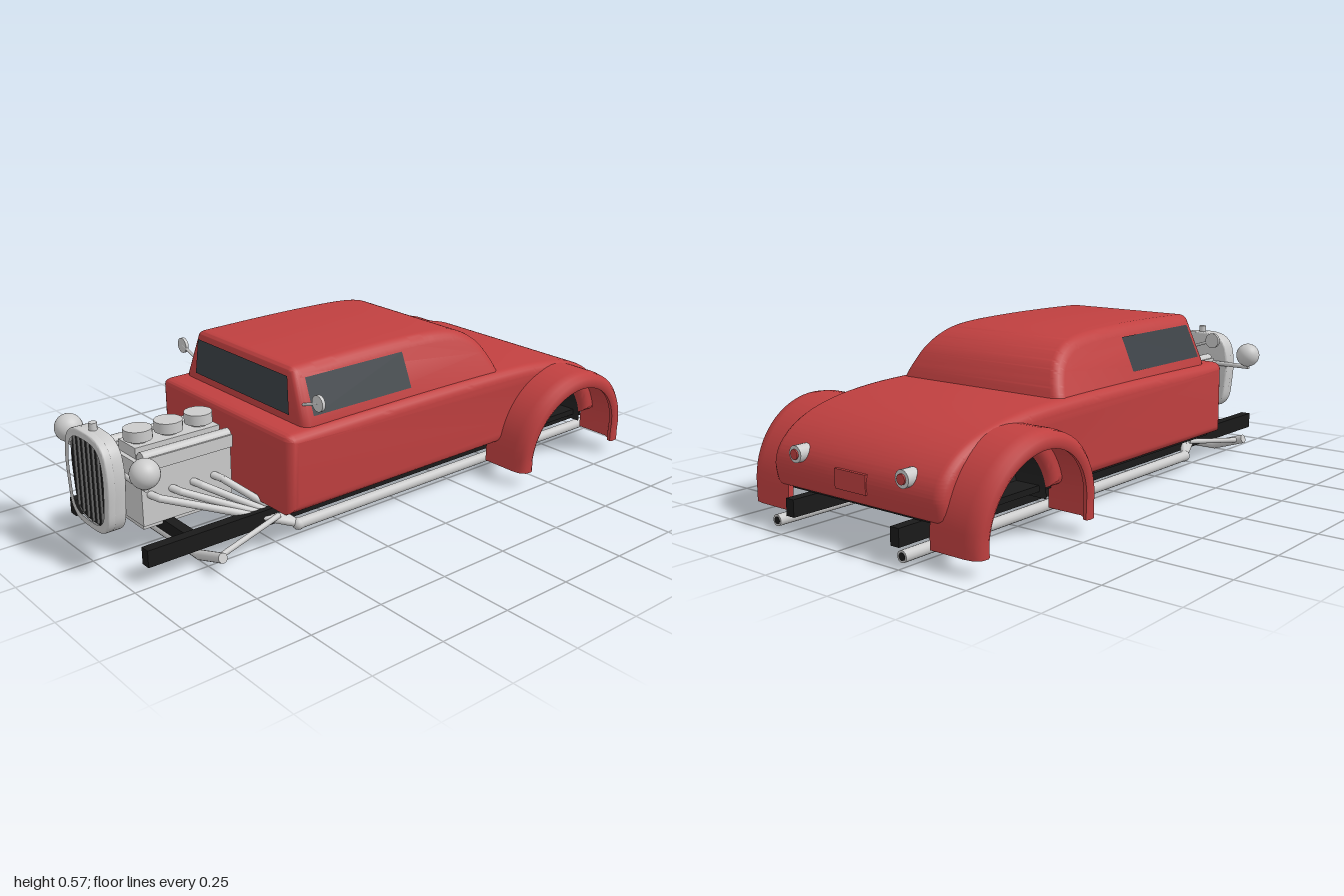
import * as THREE from 'three';
import { toCreasedNormals } from 'three/addons/utils/BufferGeometryUtils.js';

const mat = (color) => new THREE.MeshStandardMaterial({ color });
const V = (x, y, z) => new THREE.Vector3(x, y, z);

export function createModel() {
  const model = new THREE.Group();
  const red = mat(0xc04040), grey = mat(0xcccccc), black = mat(0x1a1a1a), glass = mat(0x3a4045);
  glass.side = THREE.DoubleSide;

  const add = (name, geo, material, x = 0, y = 0, z = 0) => {
    const mesh = new THREE.Mesh(geo, material);
    mesh.name = name;
    mesh.position.set(x, y, z);
    model.add(mesh);
    return mesh;
  };
  const box = (name, w, h, d, m, x, y, z) => add(name, new THREE.BoxGeometry(w, h, d), m, x, y, z);
  // Straight round bar between two points
  const rod = (name, a, b, r, m = grey) => {
    const mesh = add(name, new THREE.CylinderGeometry(r, r, a.distanceTo(b), 16), m);
    mesh.position.copy(a).add(b).multiplyScalar(0.5);
    mesh.quaternion.setFromUnitVectors(V(0, 1, 0), b.clone().sub(a).normalize());
    return mesh;
  };
  // Chain of bars with ball joints at the bends
  const pipe = (name, pts, r) => {
    for (let i = 1; i < pts.length; i++) {
      rod(name, pts[i - 1], pts[i], r);
      if (i < pts.length - 1) add(name + 'Bend', new THREE.SphereGeometry(r, 16, 10), grey, pts[i].x, pts[i].y, pts[i].z);
    }
  };
  // Side profile (u = -z, v = y) extruded across the car with rounded sides
  const sideExtrude = (shape, halfWidth, bevel) => {
    const depth = 2 * (halfWidth - bevel);
    const geo = new THREE.ExtrudeGeometry(shape, {
      depth, bevelEnabled: true, bevelSize: bevel, bevelThickness: bevel,
      bevelOffset: -bevel, bevelSegments: 5, curveSegments: 20,
    });
    return geo.translate(0, 0, -depth / 2).rotateY(Math.PI / 2);
  };
  const vec2 = (list) => list.map(([x, y]) => new THREE.Vector2(x, y));

  // Main body with rear wheel arches
  const AZ = 0.66, AY = 0.095, AR = 0.195;
  const body = new THREE.Shape();
  body.moveTo(-0.52, 0.13);
  body.lineTo(-0.52, 0.365);
  body.quadraticCurveTo(-0.52, 0.39, -0.49, 0.39);
  body.splineThru(vec2([[0, 0.395], [0.4, 0.392], [0.6, 0.381], [0.75, 0.355], [0.85, 0.315], [0.915, 0.26], [0.94, 0.2], [0.932, 0.14]]));
  body.lineTo(0.925, 0.13);
  const a0 = Math.asin((0.13 - AY) / AR);
  body.absarc(AZ, AY, AR, a0, Math.PI - a0, false);
  add('body', toCreasedNormals(sideExtrude(body, 0.36, 0.035), 0.6), red);

  // Dark wheel tub and floor
  const half = (r, len, open) => new THREE.CylinderGeometry(r, r, len, 32, 1, open, 0, Math.PI).rotateZ(Math.PI / 2);
  const liner = mat(0x222222);
  liner.side = THREE.DoubleSide;
  add('wheelTub', half(0.193, 0.44, false), liner, 0, AY + 0.01, -AZ);
  add('wheelWellLiner', half(0.194, 0.67, true), liner, 0, AY, -AZ);
  box('floor', 0.62, 0.02, 1.4, black, 0, 0.125, -0.2);

  // Cabin, narrowing towards the roof
  const cabin = new THREE.Shape();
  cabin.moveTo(-0.44, 0.32);
  cabin.lineTo(-0.44, 0.4);
  cabin.lineTo(-0.432, 0.545);
  cabin.quadraticCurveTo(-0.43, 0.562, -0.41, 0.563);
  cabin.splineThru(vec2([[-0.2, 0.567], [0, 0.567], [0.18, 0.56], [0.28, 0.54], [0.35, 0.495], [0.39, 0.435], [0.41, 0.385]]));
  cabin.lineTo(0.41, 0.32);
  const cabinGeo = sideExtrude(cabin, 0.335, 0.032);
  const narrow = (y) => 1 - 1.3 * (Math.max(y, 0.39) - 0.39);
  const pos = cabinGeo.attributes.position;
  for (let i = 0; i < pos.count; i++) pos.setX(i, pos.getX(i) * narrow(pos.getY(i)));
  add('cabin', toCreasedNormals(cabinGeo, 0.6), red);

  // Windows
  const panel = (name, corners) => {
    const geo = new THREE.BufferGeometry().setFromPoints(corners);
    geo.setIndex([0, 1, 2, 0, 2, 3]);
    geo.computeVertexNormals();
    add(name, geo, glass);
  };
  panel('windscreen', [V(-0.258, 0.415, 0.444), V(0.258, 0.415, 0.444), V(0.245, 0.535, 0.438), V(-0.245, 0.535, 0.438)]);
  for (const s of [-1, 1]) {
    const wx = (y) => s * (0.335 * narrow(y) + 0.003);
    panel('sideWindow', [V(wx(0.42), 0.42, 0.4), V(wx(0.42), 0.42, 0), V(wx(0.53), 0.53, 0), V(wx(0.53), 0.53, 0.395)]);
  }

  // Rear fenders: a rolled-lip section (x, radius) swept over an arch with straight legs
  const section = [[0.3, 0.268], [0.45, 0.268], [0.482, 0.263], [0.497, 0.248], [0.5, 0.225],
    [0.494, 0.214], [0.48, 0.217], [0.472, 0.232], [0.45, 0.246], [0.3, 0.248]];
  const fender = (s) => {
    const verts = [], index = [], n = section.length, steps = 34;
    for (let i = 0; i <= steps; i++) {
      const t = Math.PI * THREE.MathUtils.clamp((i - 1) / (steps - 2), 0, 1);
      const drop = i === 0 || i === steps ? 0.045 : 0;
      for (const [x, r] of section) {
        const inset = 0.024 * (1 - Math.sin(t)) * (x > 0.4 ? 1 : 0);
        verts.push(s * (x - inset), AY + r * Math.sin(t) - drop, -AZ + r * Math.cos(t));
      }
    }
    const quad = (a, b, c, d) => (s > 0 ? index.push(a, b, c, a, c, d) : index.push(a, c, b, a, d, c));
    for (let i = 0; i < steps; i++) {
      for (let j = 0; j < n; j++) {
        const k = (j + 1) % n;
        quad(i * n + j, i * n + k, (i + 1) * n + k, (i + 1) * n + j);
      }
    }
    for (let j = 0; j < n / 2 - 1; j++) {
      const e = steps * n;
      quad(j, n - 1 - j, n - 2 - j, j + 1);
      quad(e + j, e + j + 1, e + n - 2 - j, e + n - 1 - j);
    }
    const geo = new THREE.BufferGeometry();
    geo.setAttribute('position', new THREE.Float32BufferAttribute(verts, 3));
    geo.setIndex(index);
    const m = red.clone();
    m.side = THREE.DoubleSide;
    add('rearFender', toCreasedNormals(geo, 0.8), m);
  };

  // Paired parts
  for (const s of [-1, 1]) {
    fender(s);
    box('chassisRail', 0.034, 0.055, 1.93, black, s * 0.222, 0.086, -0.02);

    // Exhaust headers and side pipe
    const collector = V(s * 0.265, 0.045, 0.42);
    for (const z of [0.83, 0.755, 0.68, 0.605]) {
      pipe('exhaustHeader', [V(s * 0.09, 0.215, z + 0.02), V(s * 0.125, 0.205, z), collector], 0.012);
    }
    add('collector', new THREE.SphereGeometry(0.02, 16, 10), grey, collector.x, collector.y, collector.z);
    rod('sidePipe', collector, V(s * 0.265, 0.043, -1), 0.018);
    rod('pipeOutlet', V(s * 0.265, 0.043, -0.99), V(s * 0.265, 0.043, -1.001), 0.012, black);

    // Radius rod, headlight, mirror
    rod('radiusRod', V(s * 0.3, 0.05, 0.745), V(s * 0.245, 0.085, 0.48), 0.009);
    add('headlight', new THREE.SphereGeometry(0.045, 28, 18), grey, s * 0.23, 0.35, 0.932);
    rod('headlightStem', V(s * 0.23, 0.303, 0.932), V(s * 0.23, 0.33, 0.932), 0.009);
    rod('mirrorArm', V(s * 0.29, 0.452, 0.42), V(s * 0.37, 0.478, 0.42), 0.005);
    rod('mirror', V(s * 0.372, 0.479, 0.413), V(s * 0.372, 0.479, 0.424), 0.026);

    // Tail light
    rod('tailLight', V(s * 0.225, 0.243, -0.91), V(s * 0.225, 0.243, -0.955), 0.027);
    rod('tailLens', V(s * 0.225, 0.243, -0.95), V(s * 0.225, 0.243, -0.96), 0.016, red);

    // Valve cover
    box('valveCover', 0.05, 0.04, 0.31, grey, s * 0.088, 0.315, 0.71);
    rod('valveCoverTop', V(s * 0.088, 0.33, 0.555), V(s * 0.088, 0.33, 0.865), 0.02);
  }
  box('numberPlatePanel', 0.13, 0.06, 0.02, red, 0, 0.195, -0.934);

  // Front axle and crossmember
  box('crossmember', 0.46, 0.04, 0.035, black, 0, 0.088, 0.78);
  pipe('frontAxle', [V(-0.325, 0.058, 0.745), V(-0.2, 0.018, 0.745), V(0.2, 0.018, 0.745), V(0.325, 0.058, 0.745)], 0.016);

  // Engine with three intake stacks
  box('engineBlock', 0.2, 0.2, 0.32, grey, 0, 0.215, 0.715);
  box('sump', 0.16, 0.04, 0.3, grey, 0, 0.115, 0.715);
  box('intakeManifold', 0.1, 0.05, 0.3, grey, 0, 0.325, 0.71);
  for (const z of [0.605, 0.713, 0.82]) {
    rod('intakeNeck', V(0, 0.33, z), V(0, 0.365, z), 0.03);
    rod('intakeStack', V(0, 0.358, z), V(0, 0.392, z), 0.045);
  }

  // Radiator grille
  const side = [[0.075, 0.414], [0.112, 0.385], [0.13, 0.32], [0.125, 0.22], [0.112, 0.155], [0.08, 0.124]];
  const loop = [[0, 0.422], ...side, [0, 0.115], ...side.map(([x, y]) => [-x, y]).reverse()];
  const outline = new THREE.CatmullRomCurve3(loop.map(([x, y]) => V(x, y, 0)), true).getPoints(64).slice(0, -1);
  const inset = (kx, ky) => outline.map((p) => new THREE.Vector2(p.x * kx, 0.27 + (p.y - 0.27) * ky));
  const extrude = (shape, depth, bevel) => toCreasedNormals(new THREE.ExtrudeGeometry(shape, {
    depth, bevelEnabled: bevel > 0, bevelSize: bevel, bevelThickness: bevel, bevelOffset: -bevel, bevelSegments: 3,
  }), 0.6);
  add('radiatorShell', extrude(new THREE.Shape(inset(1, 1)), 0.03, 0.006), grey, 0, 0, 0.945);
  const frame = new THREE.Shape(inset(1, 1));
  frame.holes.push(new THREE.Path(inset(0.84, 0.88)));
  add('grilleFrame', extrude(frame, 0.018, 0.005), grey, 0, 0, 0.977);
  add('grilleBacking', extrude(new THREE.Shape(inset(0.9, 0.92)), 0.004, 0), black, 0, 0, 0.979);
  for (let i = -3; i <= 3; i++) {
    const h = 0.275 - 0.005 * i * i;
    box('grilleBar', 0.006, h, 0.008, mat(0x666666), i * 0.029, 0.27, 0.987);
  }
  rod('radiatorCap', V(0, 0.41, 0.965), V(0, 0.445, 0.965), 0.013);
  rod('headlightBar', V(-0.235, 0.303, 0.932), V(0.235, 0.303, 0.932), 0.009);

  return model;
}
